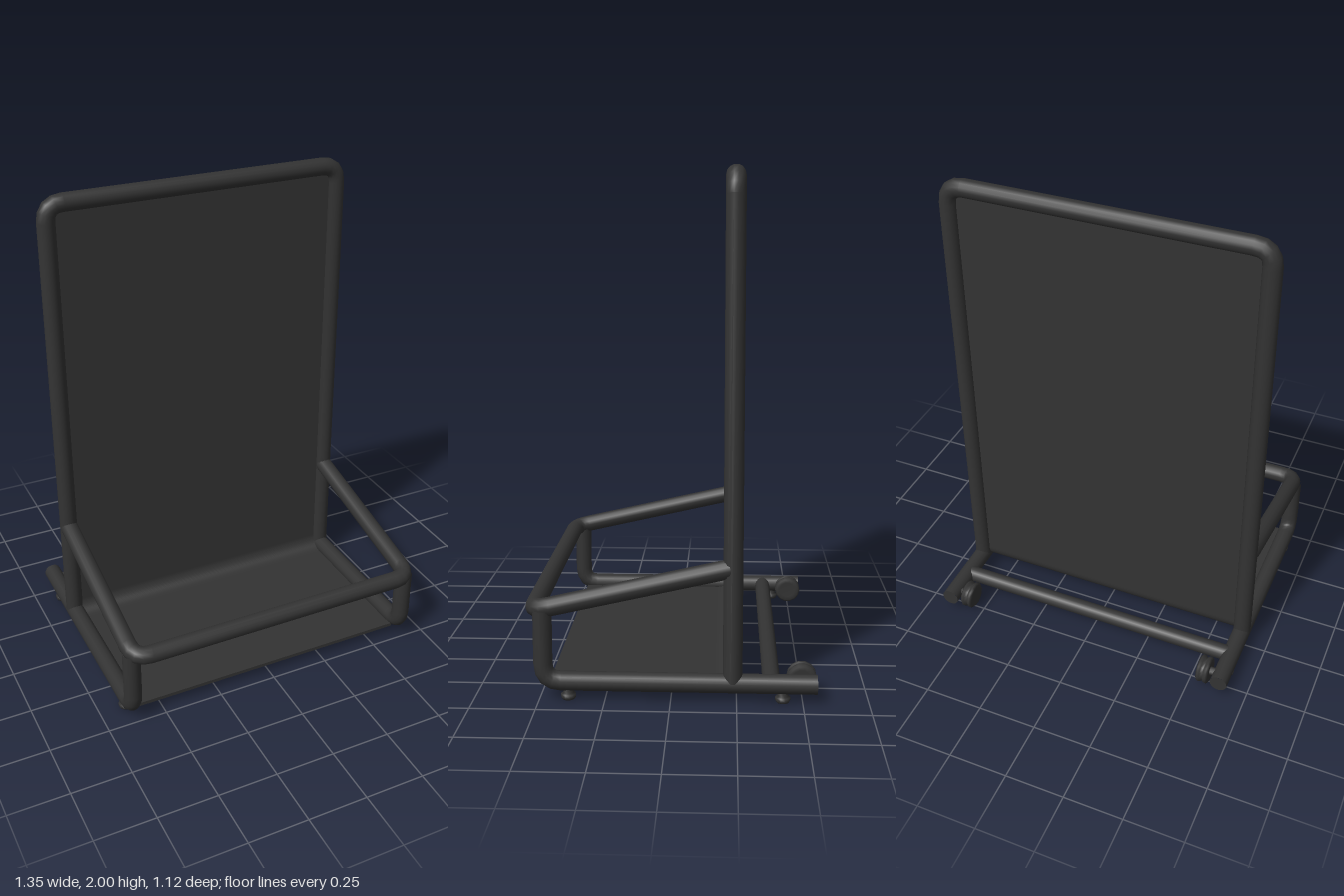
import * as THREE from 'three';

const material = new THREE.MeshStandardMaterial({ color: 0x333333 });
const V = (x, y, z) => new THREE.Vector3(x, y, z);
const R = 0.037; // main pipe radius
const SIDE = 0.637; // x of the side pipes

// Curve that puts one ring of the pipe on every path point
class PipePath extends THREE.Curve {
  constructor(points) { super(); this.points = points; }
  index(t) { return Math.round(t * (this.points.length - 1)); }
  getPoint(t) { return this.points[this.index(t)].clone(); }
  getPointAt(t, target = V(0, 0, 0)) { return target.copy(this.points[this.index(t)]); }
  getTangentAt(t, target = V(0, 0, 0)) {
    const p = this.points, i = this.index(t);
    const into = p[i].clone().sub(p[Math.max(i - 1, 0)]).normalize();
    const out = p[Math.min(i + 1, p.length - 1)].clone().sub(p[i]).normalize();
    return target.copy(into.add(out)).normalize();
  }
}

// Replaces each inner corner by a short bend
function bend(corners, r, steps = 4) {
  const points = [corners[0]];
  for (let i = 1; i < corners.length - 1; i++) {
    const c = corners[i];
    const a = c.clone().add(corners[i - 1].clone().sub(c).setLength(r));
    const b = c.clone().add(corners[i + 1].clone().sub(c).setLength(r));
    points.push(...new THREE.QuadraticBezierCurve3(a, c, b).getPoints(steps));
  }
  points.push(corners[corners.length - 1]);
  return points;
}

function add(parent, name, geometry, mat = material) {
  const mesh = new THREE.Mesh(geometry, mat);
  mesh.name = name;
  parent.add(mesh);
  return mesh;
}

function pipe(parent, name, corners, radius = R, r = 0.07) {
  const points = bend(corners, r);
  return add(parent, name, new THREE.TubeGeometry(new PipePath(points), points.length - 1, radius, 14));
}

function lathe(parent, name, profile, sides) {
  return add(parent, name, new THREE.LatheGeometry(profile.map(([r, y]) => new THREE.Vector2(r, y)), sides));
}

// One sheet forming back panel and floor, joined by a rounded fold
function panelGeometry() {
  const back = -0.243, bottom = 0.045, t = 0.015, r = 0.075;
  const s = new THREE.Shape(); // shape x = world z
  s.moveTo(0.465, bottom);
  s.lineTo(0.465, bottom + t);
  s.lineTo(back + r, bottom + t);
  s.absarc(back + r, bottom + r, r - t, -Math.PI / 2, -Math.PI, true);
  s.lineTo(back + t, 1.95);
  s.lineTo(back, 1.95);
  s.lineTo(back, bottom + r);
  s.absarc(back + r, bottom + r, r, Math.PI, Math.PI * 1.5, false);
  s.closePath();
  const g = new THREE.ExtrudeGeometry(s, { depth: 1.22, bevelEnabled: false, curveSegments: 8 });
  g.translate(0, 0, -0.61);
  g.rotateY(-Math.PI / 2);
  return g;
}

export function createModel() {
  const model = new THREE.Group();
  model.name = 'panelTrolley';

  add(model, 'backAndFloorPanel', panelGeometry());

  // Tall hoop around the back panel
  pipe(model, 'backFrame', [
    V(-SIDE, 0.07, -0.235), V(-SIDE, 1.963, -0.235), V(SIDE, 1.963, -0.235), V(SIDE, 0.07, -0.235),
  ]);

  // Sloping guard rail around the front
  pipe(model, 'guardRail', [
    V(-SIDE, 0.518, -0.225), V(-SIDE, 0.347, 0.523), V(SIDE, 0.347, 0.523), V(SIDE, 0.518, -0.225),
  ]);

  // Bar joining the base rails behind the panel
  pipe(model, 'rearCrossbar', [V(-0.625, 0.07, -0.382), V(0.625, 0.07, -0.382)], 0.034);

  for (const side of [-1, 1]) {
    const half = new THREE.Group();
    half.name = side > 0 ? 'leftBase' : 'rightBase';
    model.add(half);
    const x = side * SIDE;

    // Base rail turning up into the front post
    pipe(half, 'baseRail', [V(x, 0.07, -0.555), V(x, 0.07, 0.487), V(x, 0.35, 0.487)]);
    const cap = add(half, 'railEnd', new THREE.CircleGeometry(R, 14));
    cap.position.set(x, 0.07, -0.555);
    cap.rotation.y = Math.PI;

    // Stepped feet
    for (const z of [0.39, -0.425]) {
      const foot = lathe(half, 'foot', [[0, 0], [0.024, 0], [0.029, 0.008], [0.029, 0.02], [0.02, 0.024], [0.02, 0.05]], 10);
      foot.position.set(x, 0, z);
    }

    // Grooved wheel on the inner side of the rail
    const wheel = new THREE.Group();
    wheel.name = 'wheel';
    lathe(wheel, 'tyre', [
      [0, -0.024], [0.035, -0.024], [0.05, -0.026], [0.058, -0.018], [0.057, -0.008], [0.047, 0],
      [0.057, 0.008], [0.058, 0.018], [0.05, 0.026], [0.035, 0.024], [0, 0.024],
    ], 14);
    const axle = add(wheel, 'axle', new THREE.CylinderGeometry(0.018, 0.018, 0.08, 10));
    axle.position.y = 0.045;
    wheel.rotation.z = -side * Math.PI / 2;
    wheel.position.set(side * 0.56, 0.07, -0.5);
    half.add(wheel);
  }
  return model;
}
